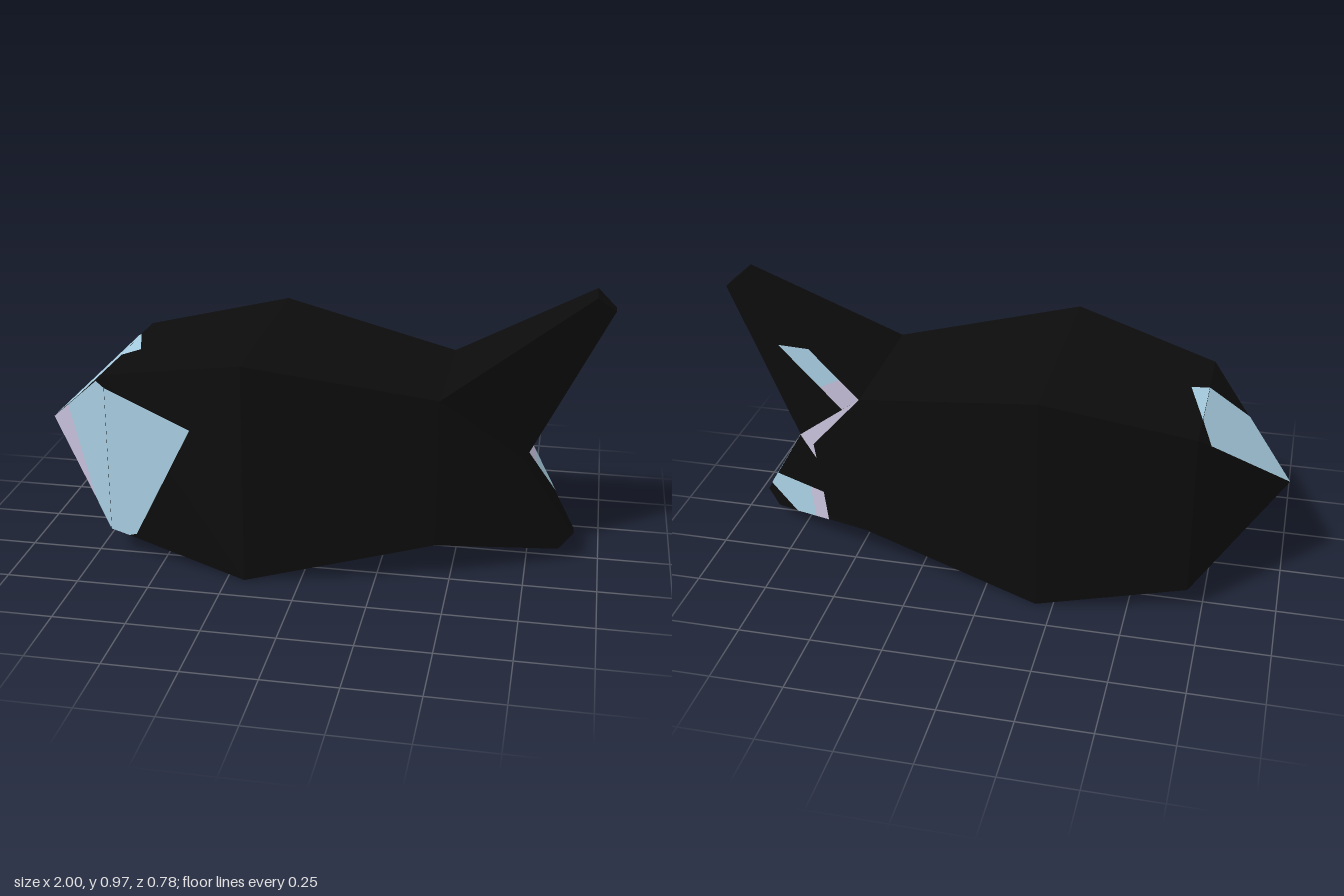
import * as THREE from 'three';

const flat = (name, color) => {
  const m = new THREE.MeshStandardMaterial({ color });
  m.name = name;
  return m;
};

// Triangulates a planar polygon as seen along an axis; side (+1/-1) is the way it faces.
function addPolygon(out, corners, axis, side) {
  const [u, v] = [0, 1, 2].filter((i) => i !== axis);
  const flatPts = corners.map((c) => new THREE.Vector2(c.getComponent(u), c.getComponent(v)));
  for (const [i, j, k] of THREE.ShapeUtils.triangulateShape(flatPts, [])) {
    const [a, b, c] = [corners[i], corners[j], corners[k]];
    const n = b.clone().sub(a).cross(c.clone().sub(a));
    const tri = n.getComponent(axis) * side > 0 ? [a, b, c] : [a, c, b];
    tri.forEach((p) => out.push(p.x, p.y, p.z));
  }
}

function makeMesh(name, positions, material) {
  const g = new THREE.BufferGeometry();
  g.setAttribute('position', new THREE.Float32BufferAttribute(positions, 3));
  g.computeVertexNormals();
  const mesh = new THREE.Mesh(g, material);
  mesh.name = name;
  return mesh;
}

export function createModel() {
  const group = new THREE.Group();
  const black = flat('black', 0x0c0c0c);
  const blue = flat('pale blue', 0xa8cee2);
  const lilac = flat('pale lilac', 0xc6c0da);
  const V = (x, y, z) => new THREE.Vector3(x, y, z);
  const X = 0, Y = 1, Z = 2;

  // Square cross-sections: top back, top front, bottom front, bottom back
  const section = (x, top, bottom, back, front) => [
    V(x, top, back), V(x, top, front), V(x, bottom, front), V(x, bottom, back),
  ];
  const nose = V(-1, 0.385, -0.03);
  const neck = section(-0.7, 0.67, 0.09, -0.32, 0.26);
  const belly = section(-0.19, 0.777, 0, -0.388, 0.388);
  const root = section(0.45, 0.655, 0.13, -0.262, 0.262);
  const sides = [[Y, 1], [Z, 1], [Y, -1], [Z, -1]];

  // Head: four-sided pyramid
  const head = [];
  const headFaces = sides.map(([axis, side], i) => {
    const f = [nose, neck[i], neck[(i + 1) % 4]];
    addPolygon(head, f, axis, side);
    return { f, axis, side };
  });
  group.add(makeMesh('head', head, black));

  // Body: two tapering box segments
  const body = [];
  const segment = (a, b) => sides.map(([axis, side], i) => {
    const j = (i + 1) % 4;
    const f = [a[i], a[j], b[j], b[i]];
    addPolygon(body, f, axis, side);
    return { f, axis, side };
  });
  const frontBody = segment(neck, belly);
  const rearBody = segment(belly, root);
  group.add(makeMesh('body', body, black));

  // Tail: forked, with an upper and a lower lobe meeting at a notch
  const tail = [];
  const pair = (x, y, z) => [V(x, y, -z), V(x, y, z)];
  const outline = [
    [root[0], root[1]],
    pair(0.937, 0.973, 0.06), pair(1, 0.92, 0.025),
    pair(0.73, 0.405, 0.113),
    pair(0.91, 0.1, 0.022), pair(0.86, 0.05, 0.05),
    [root[3], root[2]],
  ];
  const rim = outline.slice(1).map((b, i) => {
    const a = outline[i];
    const [axis, side] = i === 0 ? [Y, 1] : i === 5 ? [Y, -1] : [X, 1];
    const f = [a[0], a[1], b[1], b[0]];
    addPolygon(tail, f, axis, side);
    return { f, axis, side };
  });
  const [upperSide, middleSide, lowerSide] = [[0, 1, 2, 3], [0, 3, 6], [6, 5, 4, 3]].map((ids) => {
    const faces = [-1, 1].map((side, k) => {
      const f = ids.map((i) => outline[i][k]);
      addPolygon(tail, f, Z, side);
      return { f, axis: Z, side };
    });
    return faces[0];
  });
  group.add(makeMesh('tail', tail, black));

  // Painted patch: a flat outline laid on a face, just clear of it.
  // Points are [x, y] on sides, [x, z] on top or bottom, [z, y] on the rear.
  function paint(name, material, { f, axis, side }, points) {
    const plane = new THREE.Plane().setFromCoplanarPoints(f[0], f[1], f[2]);
    const n = plane.normal;
    if (n.getComponent(axis) * side < 0) plane.negate();
    const [u, v] = axis === X ? [Z, Y] : axis === Y ? [X, Z] : [X, Y];
    const corners = points.map(([p, q]) => {
      const c = V(0, 0, 0).setComponent(u, p).setComponent(v, q);
      c.setComponent(axis, -(plane.constant + n.dot(c)) / n.getComponent(axis));
      return c.addScaledVector(n, 0.002);
    });
    const out = [];
    addPolygon(out, corners, axis, side);
    group.add(makeMesh(name, out, material));
  }

  // Face markings
  paint('noseTopPatch', blue, headFaces[0],
    [[-1, -0.03], [-0.74, -0.28], [-0.7, -0.18], [-0.7, 0.055], [-0.84, 0.125]]);
  paint('foreheadPatch', blue, frontBody[0], [[-0.7, -0.18], [-0.64, 0.02], [-0.7, 0.055]]);
  paint('snoutPatch', lilac, headFaces[1], [[-1, 0.385], [-0.91, 0.47], [-0.78, 0.172]]);
  paint('cheekPatch', blue, headFaces[1],
    [[-0.91, 0.47], [-0.742, 0.63], [-0.7, 0.622], [-0.7, 0.09], [-0.78, 0.172]]);
  paint('gillPatch', blue, frontBody[1],
    [[-0.7, 0.622], [-0.38, 0.52], [-0.6, 0.09], [-0.63, 0.079], [-0.7, 0.09]]);

  // Tail side markings
  paint('upperFinBlue', blue, upperSide,
    [[0.9, 0.73], [0.65, 0.785], [0.53, 0.705], [0.79, 0.522]]);
  paint('upperFinLilac', lilac, upperSide,
    [[0.79, 0.522], [0.53, 0.705], [0.45, 0.655], [0.73, 0.405]]);
  paint('tailRootLilac', lilac, middleSide,
    [[0.45, 0.655], [0.73, 0.405], [0.66, 0.336], [0.67, 0.39]]);
  paint('lowerFinLilac', lilac, lowerSide,
    [[0.73, 0.405], [0.66, 0.336], [0.62, 0.097], [0.68, 0.085]]);
  paint('lowerFinBlue', blue, lowerSide,
    [[0.73, 0.405], [0.68, 0.085], [0.77, 0.067], [0.89, 0.135]]);

  // Tail rear edge markings
  paint('upperEdgeTip', lilac, rim[2],
    [[0.025, 0.92], [-0.025, 0.92], [-0.051, 0.77], [0.055, 0.745]]);
  paint('upperEdgeBlue', blue, rim[2],
    [[0.055, 0.745], [-0.051, 0.77], [-0.103, 0.46], [0.07, 0.405], [0.113, 0.405]]);
  paint('upperEdgeBase', lilac, rim[2], [[-0.103, 0.46], [0.07, 0.405], [-0.113, 0.405]]);
  paint('lowerEdgeLilac', lilac, rim[3],
    [[0.012, 0.405], [-0.113, 0.405], [-0.098, 0.355], [-0.01, 0.342]]);
  paint('lowerEdgeBlue', blue, rim[3], [[-0.01, 0.342], [-0.098, 0.355], [-0.058, 0.22]]);
  paint('lowerTip', lilac, rim[4], [[0.022, 0.1], [-0.022, 0.1], [-0.05, 0.05], [0.05, 0.05]]);

  // Underside markings
  paint('lowerFinUnderside', blue, rim[5],
    [[0.6, -0.18], [0.47, -0.12], [0.55, 0], [0.66, 0.15], [0.81, 0.07], [0.83, -0.06]]);
  paint('bellyPatch', blue, rearBody[2],
    [[0.09, 0.335], [0.245, 0.305], [0.16, 0.235], [0.295, 0.19], [0.14, 0.1], [0.1, 0.22]]);

  return group;
}
